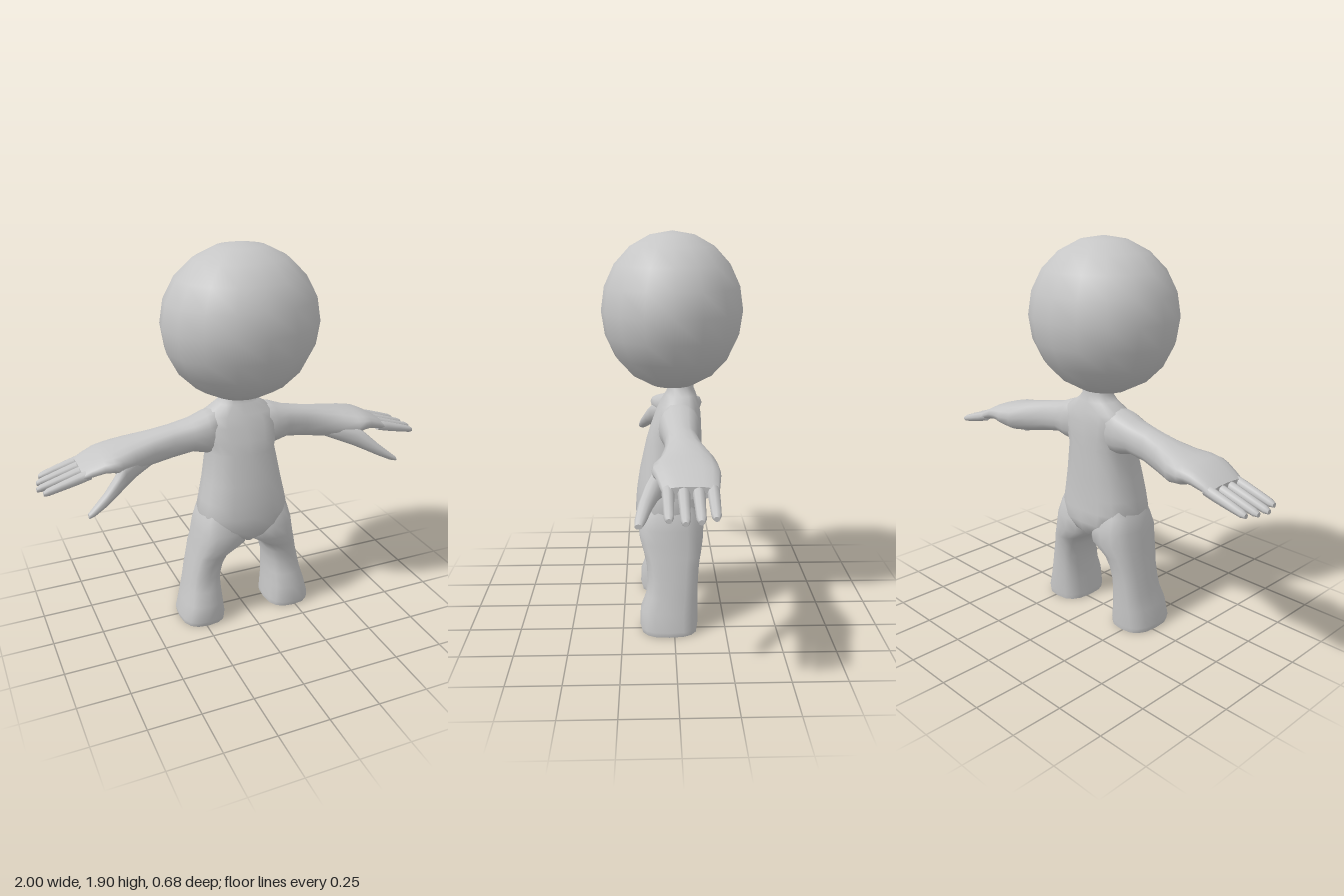
import * as THREE from 'three';

const skin = new THREE.MeshStandardMaterial({ color: 0xc6c6c6 });
skin.name = 'skin grey';

// Skin through rings [s, uMin, uMax, vMin, vMax] with s increasing along the axis.
// Axis 'x': u = y, v = z.  Axis 'y': u = z, v = x.
function loft(axis, rings, sides = 12, power = 2) {
  const pos = [], idx = [];
  const add = (s, u, v) => (axis === 'x' ? pos.push(s, u, v) : pos.push(v, s, u));
  const round = (t) => Math.sign(t) * Math.abs(t) ** (2 / power);
  const addRing = ([s, u0, u1, v0, v1]) => {
    for (let j = 0; j < sides; j++) {
      const t = (j / sides) * Math.PI * 2;
      add(s, (u0 + u1) / 2 + (round(Math.cos(t)) * (u1 - u0)) / 2,
        (v0 + v1) / 2 + (round(Math.sin(t)) * (v1 - v0)) / 2);
    }
  };
  rings.forEach(addRing);
  for (let i = 0; i < rings.length - 1; i++) {
    for (let j = 0; j < sides; j++) {
      const k = (j + 1) % sides;
      const a = i * sides + j, b = i * sides + k, c = a + sides, d = b + sides;
      idx.push(a, b, c, b, d, c);
    }
  }
  // Flat end caps with their own vertices
  [rings[0], rings[rings.length - 1]].forEach((r, end) => {
    const base = pos.length / 3;
    addRing(r);
    add(r[0], (r[1] + r[2]) / 2, (r[3] + r[4]) / 2);
    for (let j = 0; j < sides; j++) {
      const k = (j + 1) % sides;
      idx.push(base + sides, base + (end ? j : k), base + (end ? k : j));
    }
  });
  const g = new THREE.BufferGeometry();
  g.setAttribute('position', new THREE.Float32BufferAttribute(pos, 3));
  g.setIndex(idx);
  g.computeVertexNormals();
  return g;
}

// Mirror across x = 0, keeping faces outward
function mirrored(g) {
  const m = g.clone().scale(-1, 1, 1);
  const a = m.index.array;
  for (let i = 0; i < a.length; i += 3) [a[i], a[i + 1]] = [a[i + 1], a[i]];
  m.computeVertexNormals();
  return m;
}

export function createModel() {
  const model = new THREE.Group();
  model.name = 'figure';
  const add = (name, geometry) => {
    const mesh = new THREE.Mesh(geometry, skin);
    mesh.name = name;
    model.add(mesh);
  };
  const addPair = (name, geometry) => {
    add('left' + name, geometry);
    add('right' + name, mirrored(geometry));
  };

  // Head: coarse, slightly flattened ball
  const head = new THREE.SphereGeometry(1, 16, 10);
  head.scale(0.382, 0.37, 0.338).translate(0, 1.528, 0.003);
  add('head', head);

  // Torso and neck: [y, back, front, right, left]
  add('torso', loft('y', [
    [0.43, -0.1, 0.13, -0.03, 0.03],
    [0.47, -0.145, 0.17, -0.13, 0.13],
    [0.52, -0.158, 0.185, -0.215, 0.215],
    [0.58, -0.153, 0.184, -0.23, 0.23],
    [0.65, -0.148, 0.178, -0.216, 0.216],
    [0.75, -0.145, 0.163, -0.195, 0.195],
    [0.9, -0.142, 0.13, -0.17, 0.17],
    [0.96, -0.14, 0.112, -0.19, 0.19],
    [1.03, -0.136, 0.085, -0.205, 0.205],
    [1.08, -0.126, 0.062, -0.19, 0.19],
    [1.13, -0.112, 0.035, -0.105, 0.105],
    [1.16, -0.1, 0.025, -0.075, 0.075],
    [1.2, -0.1, 0.025, -0.075, 0.075],
  ], 16, 2.5));

  // Legs with blunt feet: [y, back, front, inner, outer]
  addPair('Leg', loft('y', [
    [0, -0.112, 0.16, 0.124, 0.352],
    [0.025, -0.115, 0.167, 0.122, 0.356],
    [0.11, -0.115, 0.163, 0.133, 0.333],
    [0.18, -0.115, 0.137, 0.136, 0.316],
    [0.25, -0.117, 0.128, 0.137, 0.302],
    [0.32, -0.123, 0.133, 0.12, 0.286],
    [0.37, -0.133, 0.145, 0.095, 0.276],
    [0.43, -0.146, 0.166, 0.0, 0.263],
    [0.5, -0.148, 0.174, -0.01, 0.25],
    [0.57, -0.125, 0.15, 0.01, 0.232],
    [0.65, -0.1, 0.12, 0.04, 0.19],
  ], 16, 2.7));

  // Arm and palm: [x, bottom, top, back, front]
  addPair('Arm', loft('x', [
    [0.06, 0.93, 1.1, -0.1, 0.03],
    [0.13, 0.89, 1.11, -0.12, 0.06],
    [0.18, 0.893, 1.097, -0.122, 0.072],
    [0.25, 0.91, 1.07, -0.112, 0.058],
    [0.35, 0.893, 1.05, -0.105, 0.045],
    [0.45, 0.873, 1.03, -0.128, 0.05],
    [0.55, 0.86, 1.01, -0.167, 0.075],
    [0.62, 0.872, 0.996, -0.18, 0.106],
    [0.66, 0.89, 0.985, -0.181, 0.108],
    [0.7, 0.89, 0.975, -0.18, 0.095],
    [0.76, 0.878, 0.945, -0.172, 0.078],
    [0.8, 0.867, 0.92, -0.166, 0.066],
  ], 16, 2.4));

  // Four fingers: [centre z, tip x]
  [[-0.142, 0.97], [-0.083, 0.99], [-0.022, 1.0], [0.042, 0.98]].forEach(([z, tip], i) => {
    const ring = (x, halfY, halfZ) => {
      const y = 0.892 - (x - 0.8) * 0.27;
      return [x, y - halfY, y + halfY, z - halfZ, z + halfZ];
    };
    addPair('Finger' + (i + 1), loft('x', [
      ring(0.76, 0.026, 0.026), ring(0.82, 0.026, 0.025),
      ring(0.9, 0.022, 0.022), ring(tip - 0.02, 0.018, 0.02), ring(tip, 0.011, 0.012),
    ], 8));
  });

  // Thumb slanting down and forward
  addPair('Thumb', loft('x', [
    [0.46, 0.88, 0.96, -0.04, 0.035],
    [0.55, 0.842, 0.96, -0.03, 0.075],
    [0.61, 0.822, 0.945, 0.015, 0.115],
    [0.66, 0.802, 0.895, 0.065, 0.143],
    [0.72, 0.774, 0.838, 0.103, 0.166],
    [0.78, 0.747, 0.788, 0.13, 0.178],
    [0.808, 0.742, 0.764, 0.145, 0.178],
  ], 10));

  return model;
}
